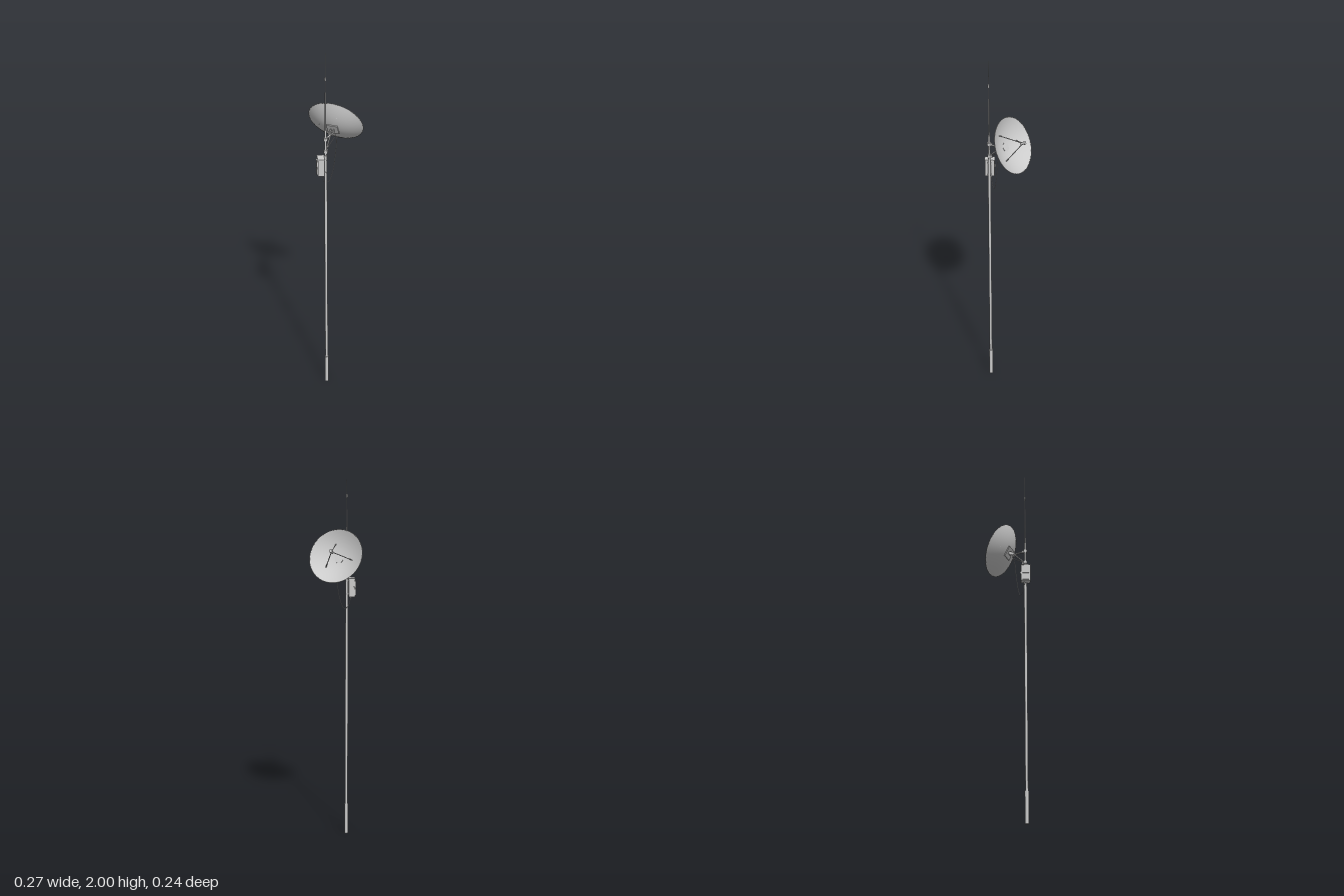
import * as THREE from 'three';

const V = (x, y, z) => new THREE.Vector3(x, y, z);
const PX = -0.067, PZ = 0.096; // pole axis

export function createModel() {
  const root = new THREE.Group();
  root.name = 'dishMast';
  const mat = new THREE.MeshStandardMaterial({ color: 0xcccccc });
  const thin = new THREE.MeshStandardMaterial({ color: 0xcccccc, side: THREE.DoubleSide });

  const add = (name, geo, parent = root, m = mat) => {
    const mesh = new THREE.Mesh(geo, m);
    mesh.name = name;
    parent.add(mesh);
    return mesh;
  };
  const box = (name, w, h, d, x, y, z, parent = root) => {
    const b = add(name, new THREE.BoxGeometry(w, h, d), parent);
    b.position.set(x, y, z);
    return b;
  };
  // cylinder between two points
  const rod = (name, a, b, r, parent = root, r2 = r, sides = 10) => {
    const c = add(name, new THREE.CylinderGeometry(r2, r, a.distanceTo(b), sides), parent);
    c.position.copy(a).add(b).multiplyScalar(0.5);
    c.quaternion.setFromUnitVectors(V(0, 1, 0), b.clone().sub(a).normalize());
    return c;
  };
  const vertical = (name, y0, y1, r, r2 = r, sides = 16) =>
    rod(name, V(PX, y0, PZ), V(PX, y1, PZ), r, root, r2, sides);

  // Pole and whip antenna
  vertical('poleBase', 0, 0.17, 0.0105);
  vertical('pole', 0.17, 1.44, 0.0075);
  vertical('upperPole', 1.44, 1.58, 0.0055);
  vertical('antennaMast', 1.58, 1.79, 0.0038, 0.0028, 10);
  vertical('antennaWhip', 1.79, 2, 0.0016, 0.001, 6);
  vertical('antennaCoil', 1.853, 1.87, 0.005, 0.005, 10);
  for (const y of [1.46, 1.53]) {
    vertical('poleClamp', y - 0.008, y + 0.008, 0.01);
    box('clampLug', 0.01, 0.012, 0.014, PX + 0.007, y, PZ - 0.01);
  }

  // Dish group: local y is the boresight, local z leans upward
  const n = V(0.405, 0.46, -0.79).normalize();
  const e = V(-n.z, 0, n.x).normalize();
  const u = e.clone().cross(n);
  const dish = new THREE.Group();
  dish.name = 'dish';
  dish.quaternion.setFromRotationMatrix(new THREE.Matrix4().makeBasis(e, n, u));
  dish.position.set(0, 1.565, -0.03);
  root.add(dish);

  const R = 0.1466, DEPTH = 0.05;
  const bowlY = r => DEPTH * ((r / R) ** 2 - 1);
  const profile = [];
  for (let i = 0; i <= 10; i++) profile.push(new THREE.Vector2(R * i / 10, bowlY(R * i / 10)));
  add('reflector', new THREE.LatheGeometry(profile, 32), dish, thin);
  const rim = add('reflectorRim', new THREE.TorusGeometry(R - 0.001, 0.0012, 6, 40), dish);
  rim.rotation.x = Math.PI / 2;
  rod('centreDisc', V(0, -DEPTH, 0), V(0, -DEPTH + 0.0025, 0), 0.023, dish, 0.023, 24);

  // Feed horn on three struts
  for (const deg of [70, 184, -43]) {
    const a = THREE.MathUtils.degToRad(deg), r = 0.08;
    rod('feedStrut', V(r * Math.cos(a), bowlY(r), r * Math.sin(a)), V(0, 0.064, 0), 0.0022, dish, 0.0022, 8);
  }
  rod('feedHorn', V(0, 0.05, 0), V(0, 0.07, 0), 0.007, dish, 0.007, 12);
  rod('feedCap', V(0, 0.07, 0), V(0, 0.078, 0), 0.009, dish, 0.009, 12);

  // Rear mounting plate and yoke
  box('mountPlate', 0.06, 0.005, 0.06, 0, -DEPTH - 0.003, 0, dish);
  for (const s of [-1, 1]) box('yokeCheek', 0.003, 0.04, 0.016, s * 0.008, -DEPTH - 0.023, 0, dish);
  rod('yokePin', V(-0.013, -0.088, 0), V(0.013, -0.088, 0), 0.004, dish);

  // Support arms from the pole to the yoke
  const knuckle = dish.position.clone().addScaledVector(n, -0.088);
  rod('upperArm', V(PX, 1.53, PZ), knuckle, 0.0045);
  rod('lowerArm', V(PX, 1.457, PZ), knuckle, 0.0038);
  rod('braceRod', V(PX, 1.46, PZ - 0.01), dish.position.clone().add(V(-0.015, -0.055, 0.07)), 0.002);

  // Equipment box beside the pole
  const bx = -0.092, by = 1.378;
  box('equipmentBox', 0.032, 0.094, 0.05, bx, by, PZ - 0.001);
  box('boxLid', 0.036, 0.004, 0.053, bx, by + 0.048, PZ - 0.001);
  for (const s of [-1, 1]) {
    box('sidePanel', 0.006, 0.036, 0.036, bx - 0.019, by + s * 0.02 - 0.004, PZ - 0.002);
    box('boxBracket', 0.02, 0.006, 0.018, PX - 0.006, by + s * 0.035, PZ);
  }
  box('latch', 0.006, 0.014, 0.006, bx - 0.012, by, PZ - 0.029);
  rod('cableGland', V(-0.088, 1.318, 0.088), V(-0.088, 1.333, 0.088), 0.004);

  // Slack cable from the dish to the box
  const cable = new THREE.CatmullRomCurve3([
    V(-0.012, 1.525, 0.03), V(-0.006, 1.5, 0.042), V(-0.012, 1.42, 0.05), V(-0.028, 1.32, 0.06),
    V(-0.05, 1.27, 0.07), V(-0.072, 1.277, 0.08), V(-0.088, 1.325, 0.088),
  ]);
  add('cable', new THREE.TubeGeometry(cable, 40, 0.0016, 6));

  return root;
}
